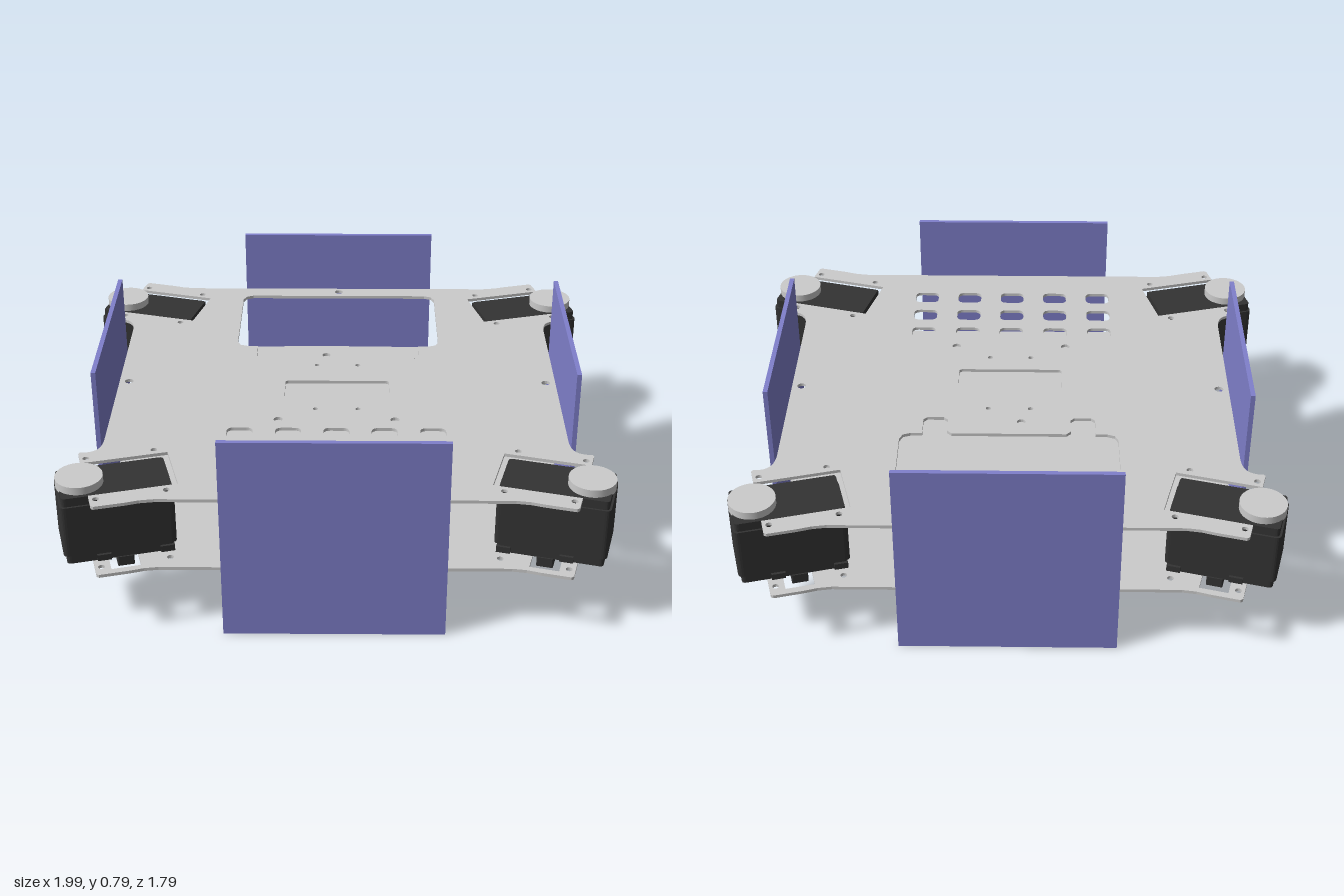
import * as THREE from 'three';

const grey = new THREE.MeshStandardMaterial({ color: 0xcccccc });
const black = new THREE.MeshStandardMaterial({ color: 0x333333 });
const blue = new THREE.MeshStandardMaterial({ color: 0x8080cc });
const TILT = Math.PI / 12, C = Math.cos(TILT), S = Math.sin(TILT);
const SERVO = [0.78, 0.69];
const corners = [[1, 1], [-1, 1], [-1, -1], [1, -1]];

// servo-local (u outward, v sideways) to plate coordinates
const local = (u, v) => [SERVO[0] + C * u - S * v, SERVO[1] + S * u + C * v];

function add(group, name, geometry, material, x = 0, y = 0, z = 0) {
  const mesh = new THREE.Mesh(geometry, material);
  mesh.name = name;
  mesh.position.set(x, y, z);
  group.add(mesh);
  return mesh;
}

function roundRect(x, z, w, h, r) {
  const s = new THREE.Path(), a = x - w / 2, b = x + w / 2, c = z - h / 2, d = z + h / 2;
  s.moveTo(a + r, c).lineTo(b - r, c).quadraticCurveTo(b, c, b, c + r).lineTo(b, d - r);
  s.quadraticCurveTo(b, d, b - r, d).lineTo(a + r, d).quadraticCurveTo(a, d, a, d - r);
  s.lineTo(a, c + r).quadraticCurveTo(a, c, a + r, c);
  return s;
}
const polygon = (pts) => new THREE.Path(pts.map((p) => new THREE.Vector2(...p)));
const circle = (x, z, r) => new THREE.Path().absarc(x, z, r, 0, Math.PI * 2);

// flat shape lying in x/z, extruded upwards from y = 0
function slab(shape, height) {
  const g = new THREE.ExtrudeGeometry(shape, { depth: height, bevelEnabled: false, curveSegments: 8 });
  return g.rotateX(Math.PI / 2).translate(0, height, 0);
}

// one corner of the outline, mirrored into all four
function plateShape(slotted) {
  const side = new THREE.CubicBezierCurve(
    new THREE.Vector2(0.842, 0.45), new THREE.Vector2(0.845, 0.5),
    new THREE.Vector2(0.855, 0.525), new THREE.Vector2(0.895, 0.535)
  ).getPoints(8).map((p) => [p.x, p.y]);
  const slot = slotted ? [local(0.1, -0.11), local(-0.212, -0.11), local(-0.212, 0.11), local(0.1, 0.11)] : [];
  const quarter = [...side, local(0.092, -0.185), local(0.1, -0.177), ...slot,
    local(0.1, 0.177), local(0.092, 0.185), [0.72, 0.866], [0.67, 0.85], [0.62, 0.842]];
  const points = corners.flatMap(([sx, sz]) => {
    const q = quarter.map(([x, z]) => new THREE.Vector2(sx * x, sz * z));
    return sx * sz > 0 ? q : q.reverse();
  });
  const shape = new THREE.Shape(points);
  // screw holes beside each servo and around the rim
  for (const [sx, sz] of corners)
    for (const u of [-0.167, 0.077])
      for (const v of [-0.138, 0.138]) {
        const [x, z] = local(u, v);
        shape.holes.push(circle(sx * x, sz * z, 0.012));
      }
  for (const [x, z] of [[0, -0.81], [0.805, 0], [-0.805, 0], [0.217, 0.29], [-0.217, 0.29]])
    shape.holes.push(circle(x, z, 0.017));
  return shape;
}

function topPlate() {
  const s = plateShape(true);
  // large opening with two tabs
  const half = [[0, -0.77], [0.365, -0.77], [0.393, -0.758], [0.405, -0.73], [0.405, -0.34], [0.393, -0.312],
    [0.365, -0.302], [0.322, -0.302], [0.322, -0.215], [0.307, -0.2], [0.245, -0.2], [0.23, -0.215],
    [0.23, -0.285], [0.213, -0.302]];
  const other = half.slice(1).reverse().map(([x, z]) => [-x, z]);
  s.holes.push(polygon([...half, ...other]));
  s.holes.push(roundRect(0, 0.057, 0.4, 0.135, 0.015));
  // grid of cable windows
  for (const x of [-0.355, -0.177, 0, 0.177, 0.355])
    for (const z of [0.39, 0.525, 0.66]) s.holes.push(roundRect(x, z, 0.095, 0.075, 0.025));
  for (const [x, z, r] of [[-0.045, -0.225, 0.016], [-0.08, -0.14, 0.01], [0.08, -0.14, 0.01],
    [-0.08, 0.21, 0.01], [0.08, 0.21, 0.01]]) s.holes.push(circle(x, z, r));
  return slab(s, 0.012);
}

function bottomPlate() {
  const s = plateShape(false);
  for (const x of [-0.337, 0.337])
    for (const z of [-0.72, -0.355]) s.holes.push(circle(x, z, 0.02));
  s.holes.push(circle(-0.385, 0.415, 0.017));
  // window under each servo
  for (const [sx, sz] of corners)
    s.holes.push(polygon([[-0.06, -0.16], [0.045, -0.16], [0.045, 0.16], [-0.06, 0.16]].map(([u, v]) => {
      const [x, z] = local(u, v);
      return [sx * x, sz * z];
    })));
  return slab(s, 0.012);
}

function servo() {
  const g = new THREE.Group();
  g.name = 'servo';
  const block = (name, w, d, r, y0, y1, u = 0) =>
    add(g, name, slab(new THREE.Shape(roundRect(u, 0, w, d, r).getPoints(5)), y1 - y0), black, 0, y0, 0);
  block('servoBase', 0.38, 0.19, 0.015, 0.263, 0.3);
  block('servoBody', 0.4, 0.21, 0.02, 0.3, 0.5);
  block('servoLid', 0.385, 0.195, 0.015, 0.5, 0.533);
  block('servoBoss', 0.06, 0.2, 0.006, 0.228, 0.265, -0.015);
  // screw lugs at the corners
  for (const u of [-0.165, 0.06])
    for (const v of [-0.08, 0.08])
      for (const y of [0.276, 0.515])
        add(g, 'servoLug', new THREE.BoxGeometry(0.05, 0.024, 0.05), black, u, y, v);
  add(g, 'servoHorn', new THREE.CylinderGeometry(0.084, 0.084, 0.035, 40), grey, 0.118, 0.5445, 0);
  return g;
}

export function createModel() {
  const model = new THREE.Group();
  model.name = 'robotChassis';
  add(model, 'topPlate', topPlate(), grey, 0, 0.531, 0);
  add(model, 'bottomPlate', bottomPlate(), grey, 0, 0.249, 0);

  for (const [sx, sz] of corners) {
    const s = servo();
    s.position.set(sx * SERVO[0], 0, sz * SERVO[1]);
    s.rotation.y = Math.atan2(-sz * S, sx * C);
    model.add(s);
  }

  // upright panels on the four sides
  const panel = new THREE.BoxGeometry(0.79, 0.79, 0.017);
  add(model, 'frontPanel', panel, blue, -0.003, 0.395, 0.87);
  add(model, 'backPanel', panel, blue, -0.003, 0.395, -0.857);
  add(model, 'leftPanel', panel, blue, 0.871, 0.395, -0.003).rotation.y = Math.PI / 2;
  add(model, 'rightPanel', panel, blue, -0.873, 0.395, -0.003).rotation.y = -Math.PI / 2;
  return model;
}
